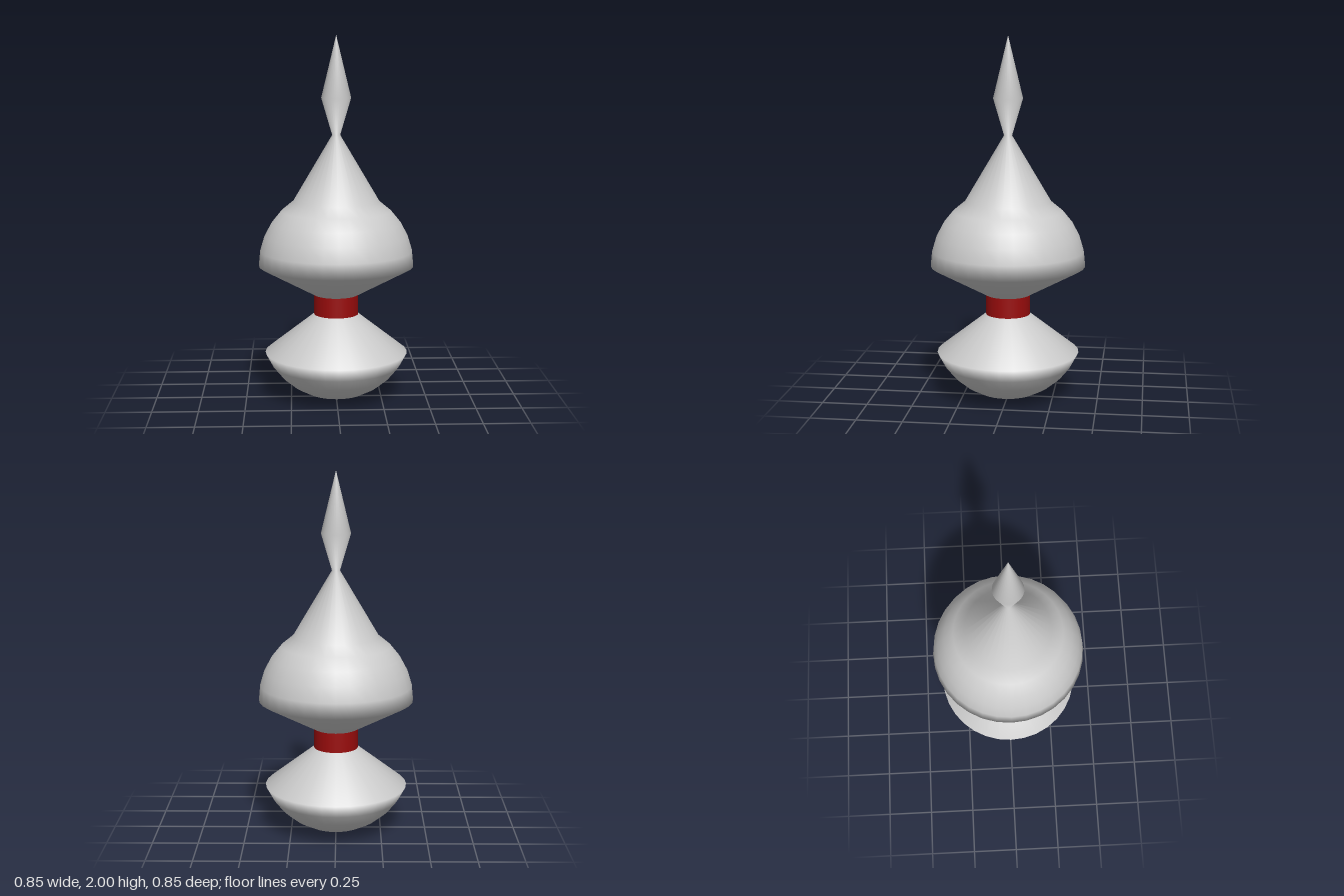
import * as THREE from 'three';

const SIDES = 32;
const R = 0.425; // radius shared by the bowl and the dome
const STEP = Math.PI / 16;

// Points on a circle of radius R about (0, cy), from ring a to ring b (ring 0 is the equator)
function arc(cy, a, b) {
  const pts = [];
  for (let i = a; i <= b; i++) {
    pts.push([Math.max(0, R * Math.cos(i * STEP)), cy + R * Math.sin(i * STEP)]);
  }
  return pts;
}

function turned(name, profile, color = 0xcccccc) {
  const points = profile.map(([r, y]) => new THREE.Vector2(r, y));
  const mesh = new THREE.Mesh(
    new THREE.LatheGeometry(points, SIDES),
    new THREE.MeshStandardMaterial({ color, side: THREE.DoubleSide })
  );
  mesh.name = name;
  return mesh;
}

export function createModel() {
  const group = new THREE.Group();
  group.name = 'turnedFinial';

  // Rounded bowl closing in a cone towards the neck
  group.add(turned('lowerBowl', [...arc(R, -8, -2), [0.122, 0.475]]));

  // Red collar
  group.add(turned('neckBand', [[0.122, 0.475], [0.122, 0.585]], 0x990c0c));

  // Flared underside, dome, conical roof and pointed spire
  group.add(turned('domeAndSpire', [
    [0.122, 0.585],
    ...arc(0.75, 0, 5),
    [0.022, 1.465],
    [0.081, 1.665],
    [0, 2],
  ]));

  return group;
}
